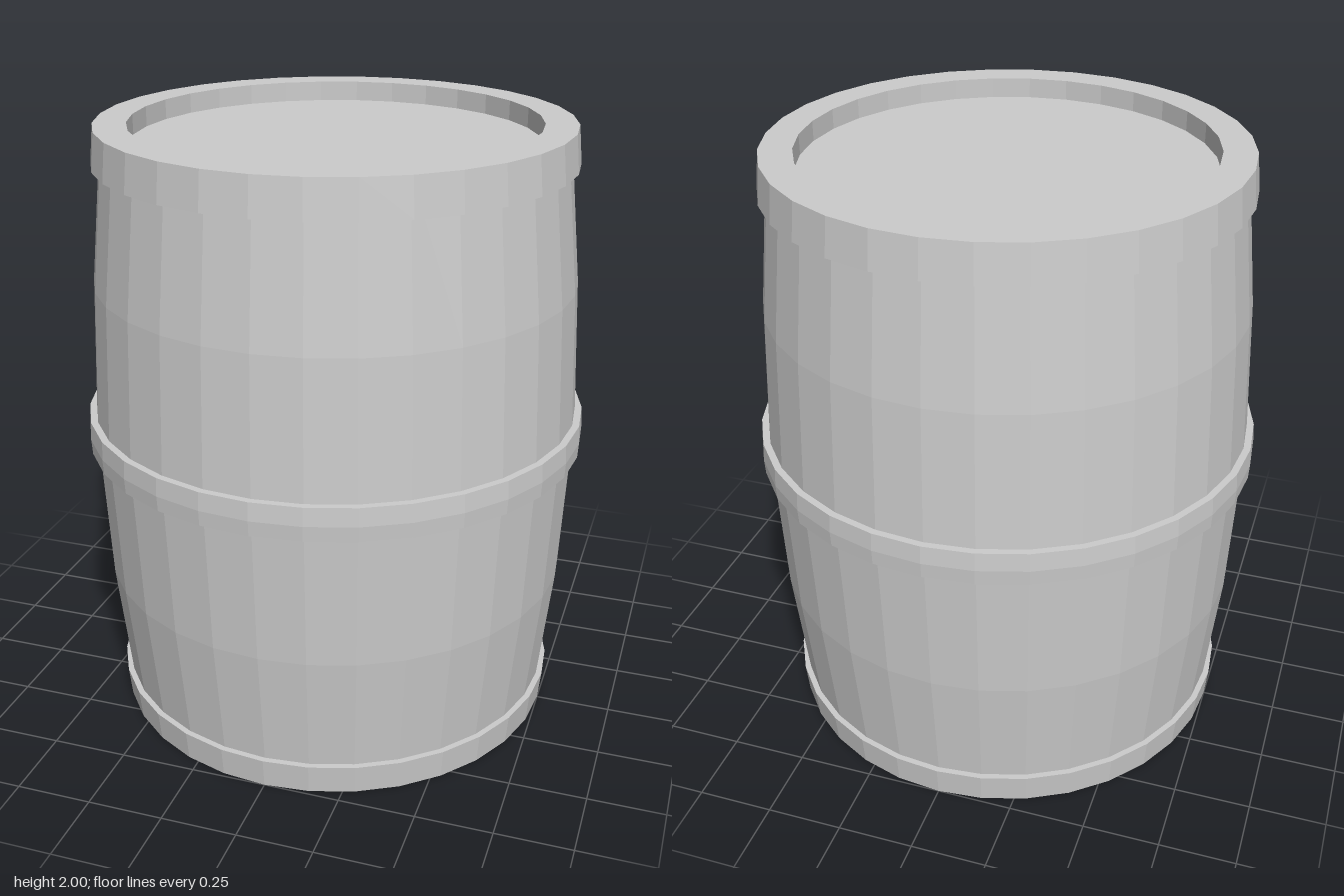
import * as THREE from 'three';

const SIDES = 32;

export function createModel() {
  const barrel = new THREE.Group();
  barrel.name = 'barrel';
  const material = new THREE.MeshStandardMaterial({ color: 0xcccccc, flatShading: true });

  // Spins a [radius, height] profile, listed upwards along the outside
  const turn = (name, profile) => {
    const points = profile.map(([r, y]) => new THREE.Vector2(r, y));
    const mesh = new THREE.Mesh(new THREE.LatheGeometry(points, SIDES), material);
    mesh.name = name;
    barrel.add(mesh);
  };

  // Bulging staves with a closed base and a raised rim
  turn('body', [
    [0, 0], [0.73, 0], [0.782, 0.5], [0.805, 1], [0.782, 1.5], [0.73, 2], [0.65, 2],
  ]);

  // Recessed lid and the inside wall of the rim
  turn('lid', [[0.65, 2], [0.65, 1.935], [0, 1.935]]);

  // Hoops that follow the bulge, standing slightly proud of it
  turn('bottomHoop', [[0.73, 0], [0.75, 0], [0.76, 0.1], [0.735, 0.1]]);
  turn('middleHoop', [[0.795, 0.95], [0.826, 0.95], [0.829, 1], [0.825, 1.06], [0.795, 1.06]]);
  turn('topHoop', [[0.735, 1.88], [0.767, 1.88], [0.755, 2], [0.73, 2]]);

  return barrel;
}
